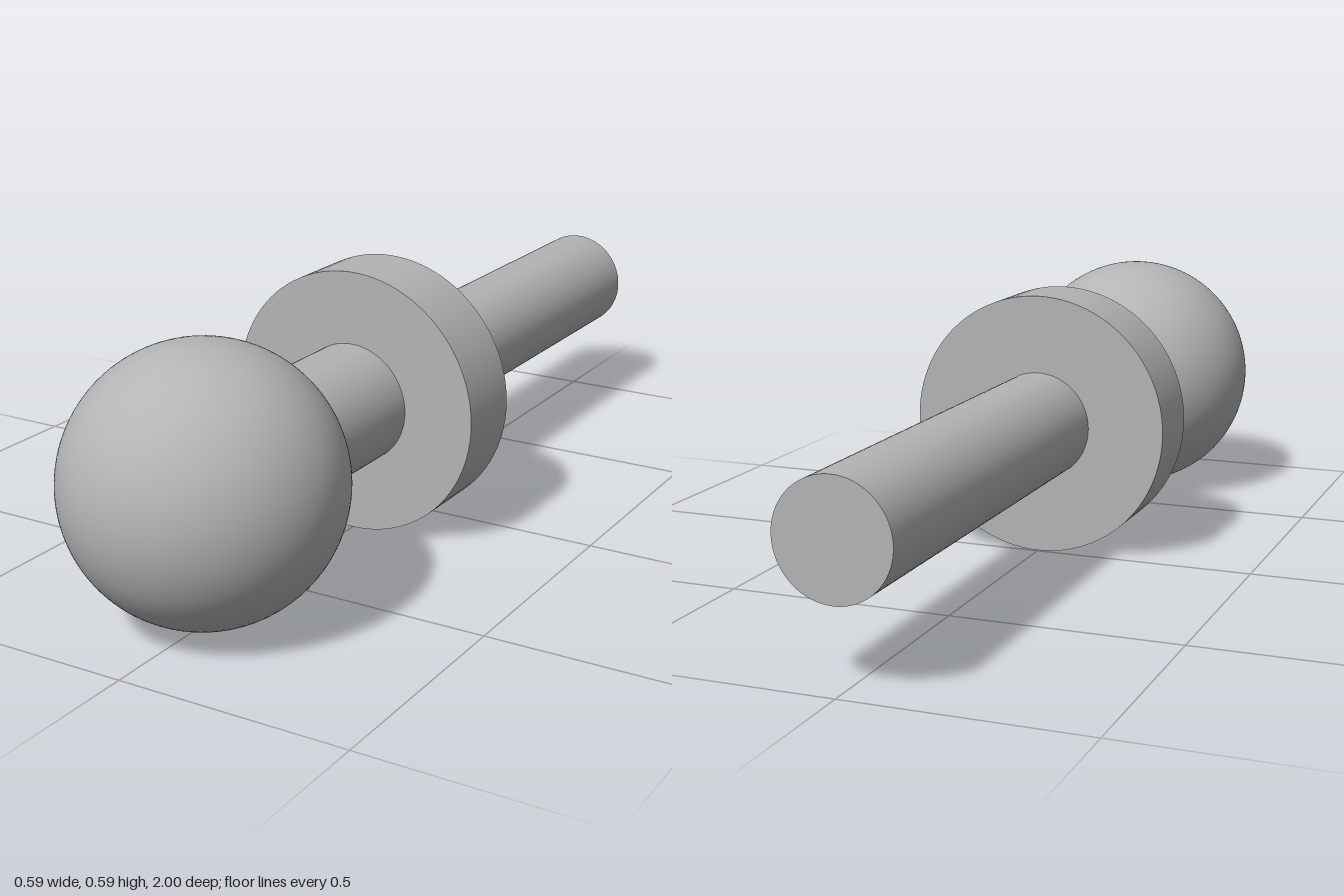
import * as THREE from 'three';

const SEGMENTS = 96;
const BALL_R = 0.285, NECK_R = 0.133, FLANGE_R = 0.293, SHAFT_R = 0.12;
const FLANGE_BACK = 0.005, FLANGE_FRONT = 0.17;

export function createModel() {
  const model = new THREE.Group();
  model.name = 'ballStud';
  const steel = new THREE.MeshStandardMaterial({ color: 0xb4b4b4 });
  steel.name = 'grey steel';

  const add = (parent, name, geometry, z) => {
    const mesh = new THREE.Mesh(geometry, steel);
    mesh.name = name;
    mesh.position.z = z;
    parent.add(mesh);
  };
  // Cylinder wall running along z
  const wall = (parent, name, radius, z0, z1) => add(parent, name,
    new THREE.CylinderGeometry(radius, radius, z1 - z0, SEGMENTS, 1, true).rotateX(Math.PI / 2),
    (z0 + z1) / 2);
  // Flat end face, pointing to the front or the back
  const face = (parent, name, inner, outer, z, back) => {
    const geometry = inner > 0
      ? new THREE.RingGeometry(inner, outer, SEGMENTS)
      : new THREE.CircleGeometry(outer, SEGMENTS);
    add(parent, name, back ? geometry.rotateY(Math.PI) : geometry, z);
  };

  // Ball, cut off where it meets the neck
  const cut = Math.asin(NECK_R / BALL_R);
  const ballZ = 1 - BALL_R;
  add(model, 'ball',
    new THREE.SphereGeometry(BALL_R, SEGMENTS, 64, 0, Math.PI * 2, 0, Math.PI - cut).rotateX(Math.PI / 2),
    ballZ);

  // Neck between ball and flange
  wall(model, 'neck', NECK_R, FLANGE_FRONT, ballZ - BALL_R * Math.cos(cut));

  // Flange disc
  const flange = new THREE.Group();
  flange.name = 'flange';
  wall(flange, 'flangeRim', FLANGE_R, FLANGE_BACK, FLANGE_FRONT);
  face(flange, 'flangeFront', NECK_R, FLANGE_R, FLANGE_FRONT, false);
  face(flange, 'flangeBack', SHAFT_R, FLANGE_R, FLANGE_BACK, true);
  model.add(flange);

  // Shaft with its flat end
  const shaft = new THREE.Group();
  shaft.name = 'shaft';
  wall(shaft, 'shaftWall', SHAFT_R, -1, FLANGE_BACK);
  face(shaft, 'shaftEnd', 0, SHAFT_R, -1, true);
  model.add(shaft);

  model.position.y = FLANGE_R;
  return model;
}
